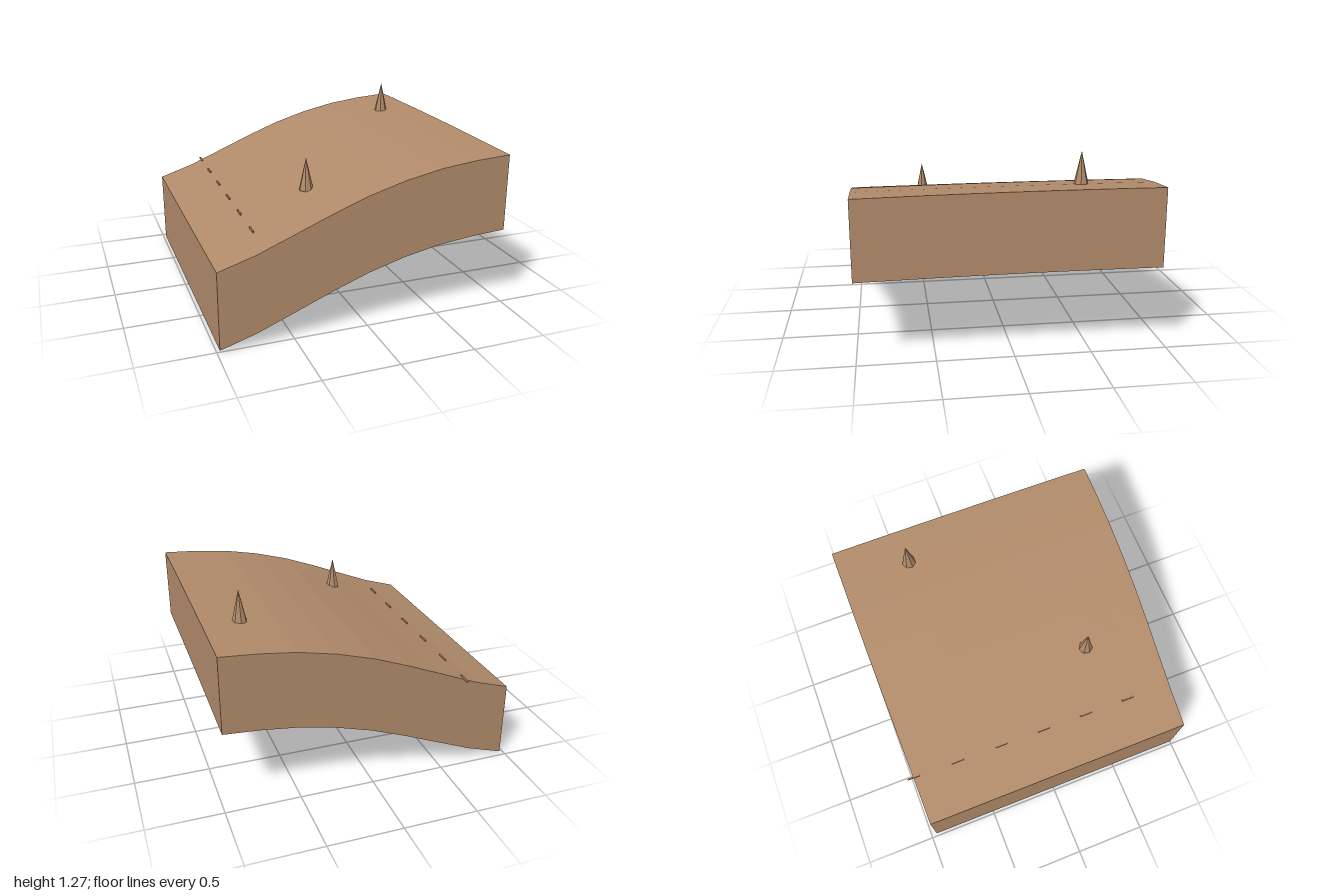
import * as THREE from 'three';

const SIZE = 1.96;      // side of the square tile
const DEPTH = 0.522;    // height of the skirt walls
const CZ = 0.02;        // tile centre in z

// Slope heights at nine even steps from -x to +x
const PROFILE = [0.526, 0.603, 0.703, 0.804, 0.896, 0.967, 1.018, 1.047, 1.063];

// Ground height: slope profile plus a slight tilt and swell along z
function groundHeight(x, z) {
  const t = THREE.MathUtils.clamp((x / SIZE + 0.5) * 8, 0, 8);
  const i = Math.min(7, Math.floor(t));
  const base = THREE.MathUtils.lerp(PROFILE[i], PROFILE[i + 1], t - i);
  const u = x / (SIZE / 2);
  const v = (z - CZ) / (SIZE / 2);
  return base - 0.005 * u * v + 0.004 * (1 + u) * 0.9 * (1 - v * v);
}

// Box bent along the slope, with its underside left open
function makeTerrainGeometry() {
  const geo = new THREE.BoxGeometry(SIZE, DEPTH, SIZE, 8, 1, 8);
  const bottom = geo.groups[3];
  const index = Array.from(geo.index.array);
  index.splice(bottom.start, bottom.count);
  geo.setIndex(index);
  geo.clearGroups();
  geo.translate(0, 0, CZ);
  const pos = geo.attributes.position;
  for (let i = 0; i < pos.count; i++) {
    const drop = pos.getY(i) > 0 ? 0 : DEPTH;
    pos.setY(i, groundHeight(pos.getX(i), pos.getZ(i)) - drop);
  }
  geo.computeVertexNormals();
  return geo;
}

export function createModel() {
  const group = new THREE.Group();
  const earth = new THREE.MeshStandardMaterial({
    color: 0xb08a6a, flatShading: true, side: THREE.DoubleSide,
  });
  earth.name = 'earth brown';

  const add = (geo, name, x, y, z) => {
    const mesh = new THREE.Mesh(geo, earth);
    mesh.name = name;
    mesh.position.set(x, y, z);
    group.add(mesh);
    return mesh;
  };

  // Sloping ground with skirt walls
  add(makeTerrainGeometry(), 'terrain', 0, 0, 0);

  // Pointed spikes
  const spikeGeo = new THREE.ConeGeometry(0.05, 0.222, 7);
  for (const [x, base, z] of [[-0.247, 0.803, 0.505], [0.73, 1.046, -0.468]]) {
    add(spikeGeo, 'spike', x, base + 0.111, z).rotation.y = Math.PI;
  }

  // Row of small dashes following the slope's contour
  const dashGeo = new THREE.BoxGeometry(0.01, 0.014, 0.09);
  for (let i = 0; i < 6; i++) {
    add(dashGeo, 'dash', -0.672 + i * 0.0042, 0.638, 0.67 - i * 0.325);
  }

  return group;
}
